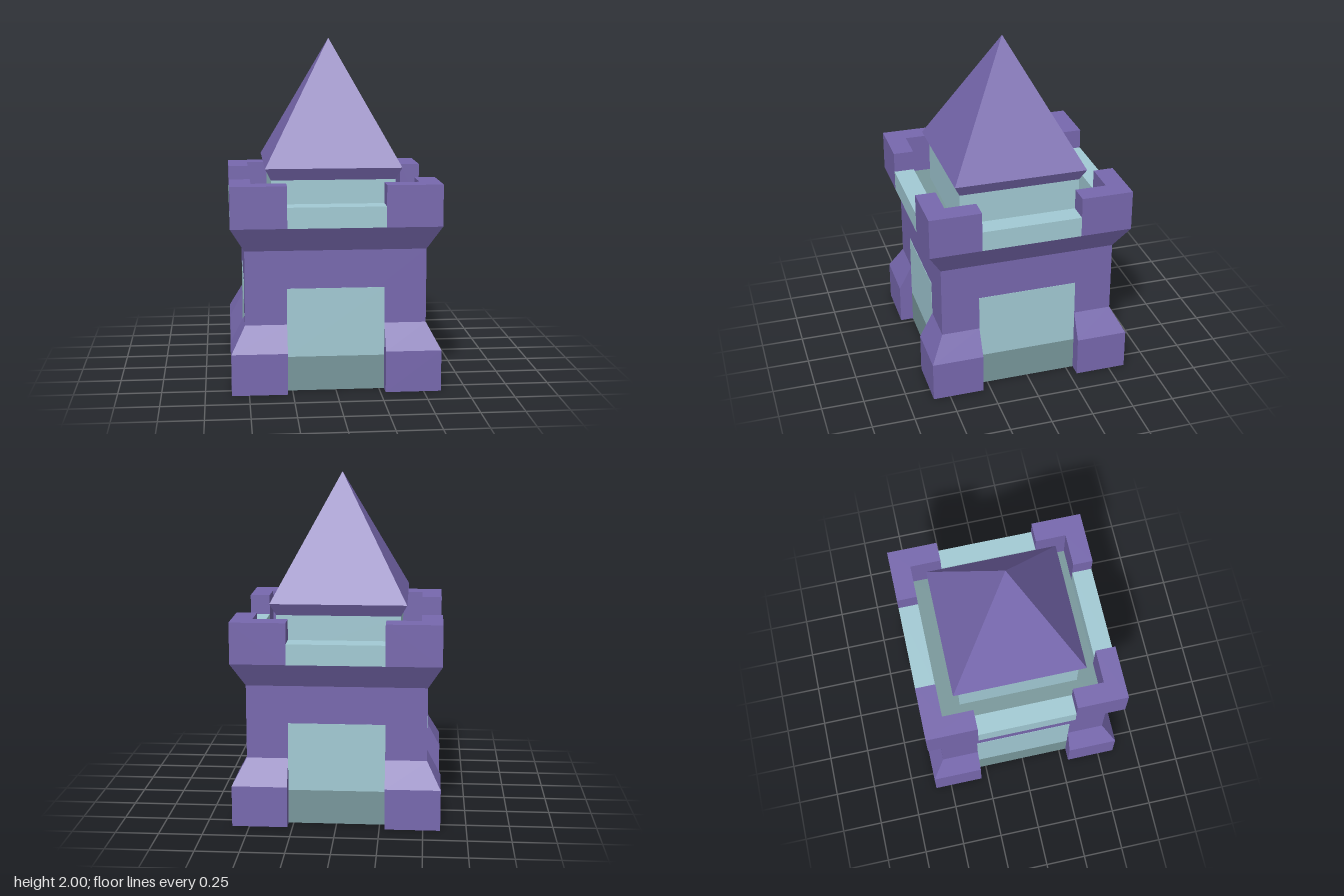
import * as THREE from 'three';

const material = (color) => new THREE.MeshStandardMaterial({ color, flatShading: true });

// Stacks rectangular rings [y, x0, x1, z0, z1] into a closed solid.
function loft(rings) {
  const corners = rings.map(([y, x0, x1, z0, z1]) => [[x0, y, z1], [x1, y, z1], [x1, y, z0], [x0, y, z0]]);
  const pos = [];
  const quad = (a, b, c, d) => pos.push(...a, ...b, ...c, ...a, ...c, ...d);
  for (let i = 0; i < corners.length - 1; i++) {
    for (let k = 0; k < 4; k++) {
      const n = (k + 1) % 4;
      quad(corners[i][k], corners[i][n], corners[i + 1][n], corners[i + 1][k]);
    }
  }
  quad(...corners[corners.length - 1]);
  quad(...[...corners[0]].reverse());
  const geo = new THREE.BufferGeometry();
  geo.setAttribute('position', new THREE.Float32BufferAttribute(pos, 3));
  geo.computeVertexNormals();
  return geo;
}

const square = (y, h) => [y, -h, h, -h, h];

export function createModel() {
  const model = new THREE.Group();
  const purple = material(0x7768ae);
  const teal = material(0xa2cad4);
  const darkTeal = material(0x78979b);

  const add = (name, geo, mat) => {
    const mesh = new THREE.Mesh(geo, mat);
    mesh.name = name;
    model.add(mesh);
    return mesh;
  };
  const box = (name, w, h, d, x, y, z, mat) =>
    add(name, new THREE.BoxGeometry(w, h, d), mat).position.set(x, y, z);

  const gapX = 0.28, gapZ = 0.295; // half widths of the openings between corners
  const outer = 0.6, wall = 0.52, inner = 0.48;

  // Main body, flaring out to carry the battlement
  add('body', loft([square(0, wall), square(0.82, wall), square(0.96, outer)]), purple);

  // Corner buttresses and L-shaped corner battlements
  for (const sx of [-1, 1]) {
    for (const sz of [-1, 1]) {
      const ring = (y, o) => {
        const xs = [sx * gapX, sx * o].sort((a, b) => a - b);
        const zs = [sz * gapZ, sz * o].sort((a, b) => a - b);
        return [y, ...xs, ...zs];
      };
      add('cornerButtress', loft([ring(0, outer), ring(0.24, outer), ring(0.39, wall)]), purple);

      const outline = [
        [gapX, outer], [outer, outer], [outer, gapZ], [inner, gapZ], [inner, inner], [gapX, inner],
      ].map(([x, z]) => new THREE.Vector2(sx * x, -sz * z));
      const geo = new THREE.ExtrudeGeometry(new THREE.Shape(outline), { depth: 0.24, bevelEnabled: false });
      geo.rotateX(-Math.PI / 2).translate(0, 0.96, 0);
      add('cornerBattlement', geo, purple);
    }
  }

  // Wall panels with darker plinths, and low parapets, on all four sides
  const thin = 0.004, mid = (outer + inner) / 2, thick = outer - inner;
  for (const s of [-1, 1]) {
    box('wallPanel', 2 * gapX, 0.4, thin, 0, 0.4, s * wall, teal);
    box('wallPlinth', 2 * gapX, 0.2, thin, 0, 0.1, s * wall, darkTeal);
    box('parapet', 2 * gapX, 0.12, thick, 0, 1.02, s * mid, teal);
    box('wallPanel', thin, 0.4, 2 * gapZ, s * wall, 0.4, 0, teal);
    box('wallPlinth', thin, 0.2, 2 * gapZ, s * wall, 0.1, 0, darkTeal);
    box('parapet', thick, 0.12, 2 * gapZ, s * mid, 1.02, 0, teal);
  }

  // Walkway and upper tower
  box('walkway', 2 * inner, 0.01, 2 * inner, 0, 0.961, 0, darkTeal);
  box('upperTower', 0.72, 0.24, 0.72, 0, 1.08, 0, teal);

  // Pyramid roof with a bevelled underside
  add('roofEave', loft([square(1.2, 0.36), square(1.27, 0.395)]), purple);
  const roof = new THREE.ConeGeometry(0.395 * Math.SQRT2, 0.73, 4, 1, true);
  roof.rotateY(Math.PI / 4).translate(0, 1.635, 0);
  add('roof', roof, purple);

  return model;
}
